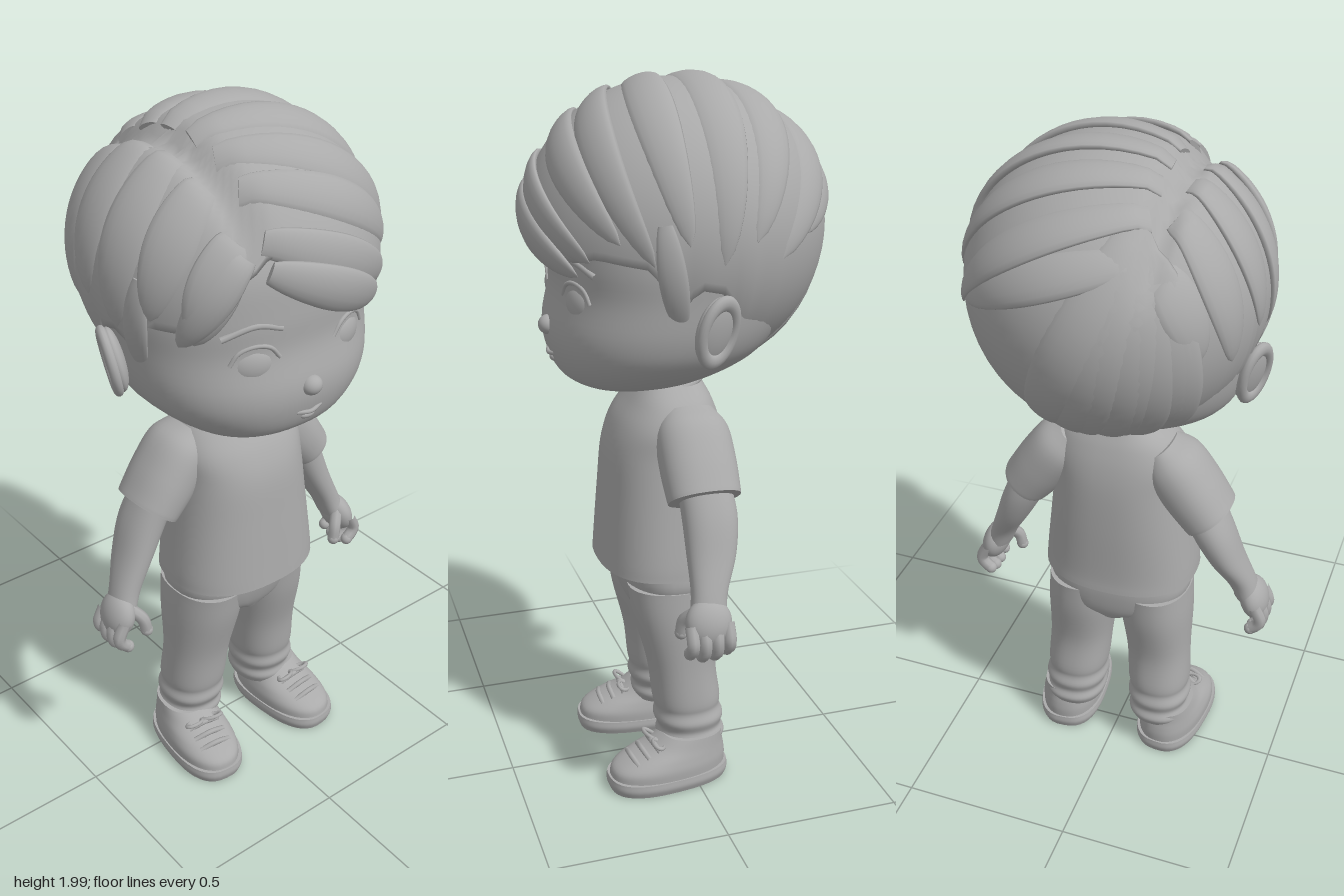
import * as THREE from 'three';

const grey = new THREE.MeshStandardMaterial({ color: 0xaaaaaa });
grey.name = 'plain grey';
const V = (x, y, z) => new THREE.Vector3(x, y, z);
const lerp = THREE.MathUtils.lerp;

function add(parent, name, geometry, pos = [0, 0, 0], rot = [0, 0, 0], scale = [1, 1, 1]) {
  const m = new THREE.Mesh(geometry, grey);
  m.name = name;
  m.position.set(...pos);
  m.rotation.set(...rot);
  m.scale.set(...scale);
  parent.add(m);
  return m;
}

// Closed skin over rows of points, with a flat cap at both ends
function skin(rows) {
  const n = rows[0].length, pos = [], idx = [];
  rows.forEach(r => r.forEach(p => pos.push(p.x, p.y, p.z)));
  for (let j = 0; j < rows.length - 1; j++) for (let i = 0; i < n; i++) {
    const a = j * n + i, b = j * n + (i + 1) % n;
    idx.push(a, b, b + n, a, b + n, a + n);
  }
  [rows[0], rows[rows.length - 1]].forEach((r, end) => {
    const base = pos.length / 3, c = V(0, 0, 0);
    r.forEach(p => { pos.push(p.x, p.y, p.z); c.add(p); });
    c.divideScalar(n);
    pos.push(c.x, c.y, c.z);
    for (let i = 0; i < n; i++) {
      const k = base + (i + 1) % n;
      if (end) idx.push(base + i, k, base + n); else idx.push(k, base + i, base + n);
    }
  });
  const g = new THREE.BufferGeometry();
  g.setAttribute('position', new THREE.Float32BufferAttribute(pos, 3));
  g.setIndex(idx);
  g.computeVertexNormals();
  return g;
}

// Rounded cross-sections [y, centre x, centre z, half width, half depth], bottom to top
function loft(rings, power = 2.2, seg = 40) {
  const A = new THREE.CatmullRomCurve3(rings.map(r => V(r[0], r[1], r[3])), false, 'catmullrom', 0.5);
  const B = new THREE.CatmullRomCurve3(rings.map(r => V(r[2], r[4], 0)), false, 'catmullrom', 0.5);
  const steps = (rings.length - 1) * 5, rows = [];
  const sup = c => Math.sign(c) * Math.pow(Math.abs(c), 2 / power);
  for (let j = 0; j <= steps; j++) {
    const a = A.getPoint(j / steps), b = B.getPoint(j / steps), row = [];
    for (let i = 0; i < seg; i++) {
      const t = i / seg * Math.PI * 2;
      row.push(V(a.y + a.z * sup(Math.sin(t)), a.x, b.x + b.y * sup(Math.cos(t))));
    }
    rows.push(row);
  }
  return skin(rows);
}

const tube = (pts, r) => new THREE.TubeGeometry(new THREE.CatmullRomCurve3(pts.map(p => V(...p))), 16, r, 8);
const ball = r => new THREE.SphereGeometry(r, 28, 20);

// Hair volume: unit direction to a point, with a dip along the parting
function hairPoint(d) {
  const x = 0.395 * d.x;
  const dip = 0.035 * Math.exp(-(((x + 0.18) / 0.03) ** 2)) * THREE.MathUtils.clamp((d.y - 0.2) * 3, 0, 1);
  return V(x, 1.6 + (d.y > 0 ? 0.38 : 0.4) * d.y - dip, 0.405 * d.z);
}
const fromTop = (x, z) => {
  const a = x / 0.395, b = z / 0.405;
  return V(a, Math.sqrt(Math.max(0, 1 - a * a - b * b)), b).normalize();
};
const fromSide = (deg, y) => {
  const s = THREE.MathUtils.clamp((y - 1.6) / (y > 1.6 ? 0.38 : 0.4), -0.99, 0.99);
  const c = Math.sqrt(1 - s * s), a = deg * Math.PI / 180;
  return V(c * Math.sin(a), s, c * Math.cos(a));
};

// Tapered lock lying on the hair volume, one edge lifted over its neighbour
function lock(from, to, width, height, lift) {
  const mid = from.clone().add(to).normalize();
  const curve = new THREE.CatmullRomCurve3([from, mid, to]), rows = [];
  for (let j = 0; j <= 20; j++) {
    const t = j / 20, c = curve.getPoint(t).normalize();
    const side = c.clone().cross(curve.getTangent(t)).normalize(), row = [];
    const k = Math.max(0.02, Math.pow(Math.sin(Math.PI * (0.1 + 0.9 * t)), 0.6));
    for (let i = 0; i < 16; i++) {
      const f = i / 16 * Math.PI * 2;
      const d = c.clone().addScaledVector(side, width * k * Math.cos(f)).normalize();
      row.push(hairPoint(d).addScaledVector(d, k * (height * Math.sin(f) + lift * Math.cos(f))));
    }
    rows.push(row);
  }
  return skin(rows);
}

function buildHair(root) {
  const hair = new THREE.Group();
  hair.name = 'hair';
  root.add(hair);
  // Cap with a hairline given as [angle from the front, height]
  const line = [[-180, 1.21], [-115, 1.22], [-102, 1.26], [-95, 1.48], [-82, 1.5], [-75, 1.42], [-68, 1.54],
    [-55, 1.54], [-38, 1.64], [-22, 1.74], [0, 1.69], [15, 1.62], [33, 1.55], [45, 1.57], [66, 1.55],
    [75, 1.42], [82, 1.5], [95, 1.48], [102, 1.26], [115, 1.22], [180, 1.21]];
  const edge = a => {
    const i = Math.max(1, line.findIndex(p => p[0] >= a)), [p, q] = [line[i - 1], line[i]];
    return lerp(p[1], q[1], (a - p[0]) / (q[0] - p[0]));
  };
  const rows = [];
  for (let j = -1; j <= 30; j++) {
    const row = [];
    for (let i = 0; i < 90; i++) {
      const a = -180 + i * 4, r = a * Math.PI / 180;
      const e = lerp(Math.asin(fromSide(a, edge(a)).y), 1.565, Math.max(0, j) / 30);
      const p = hairPoint(V(Math.cos(e) * Math.sin(r), Math.sin(e), Math.cos(e) * Math.cos(r)));
      if (j < 0) { p.x *= 0.82; p.z *= 0.82; }
      row.push(p);
    }
    rows.push(row);
  }
  add(hair, 'hairCap', skin(rows));
  // Locks combed from the parting to each side
  for (let i = 0; i < 8; i++) {
    const f = i / 7;
    add(hair, 'leftLock', lock(fromTop(-0.15, lerp(0.33, -0.3, f)),
      fromSide(lerp(42, 128, f), 1.56 + (i % 2) * 0.05), 0.15, 0.018, i % 2 ? 0.008 : 0.012));
  }
  for (let i = 0; i < 6; i++) {
    const f = i / 5;
    add(hair, 'rightLock', lock(fromTop(-0.2, lerp(0.29, -0.28, f)),
      fromSide(lerp(-50, -130, f), 1.51 + (i % 2) * 0.05), 0.17, 0.018, -0.01));
  }
  // Fringe, back and sideburns
  add(hair, 'fringe', lock(fromTop(-0.15, 0.36), fromSide(36, 1.52), 0.15, 0.022, 0.01));
  add(hair, 'fringe', lock(fromTop(-0.19, 0.32), fromSide(-56, 1.5), 0.13, 0.022, 0));
  for (let i = 0; i < 9; i++)
    add(hair, 'backLock', lock(fromTop(-0.13, -0.25), fromSide(lerp(110, 250, i / 8), 1.22 + (i % 2) * 0.03), 0.18, 0.016, 0.008));
  for (const s of [1, -1])
    add(hair, 'sideburn', lock(fromSide(s * 70, 1.66), fromSide(s * 77, 1.37), 0.09, 0.012, 0));
}

function buildHead(root) {
  const head = new THREE.Group();
  head.name = 'head';
  root.add(head);
  add(head, 'face', loft([[1.177, 0, 0.17, 0.06, 0.06], [1.19, 0, 0.14, 0.17, 0.14], [1.22, 0, 0.11, 0.24, 0.215],
    [1.28, 0, 0.07, 0.31, 0.28], [1.35, 0, 0.045, 0.342, 0.31], [1.45, 0, 0.02, 0.355, 0.315],
    [1.55, 0, 0.015, 0.36, 0.32], [1.68, 0, 0, 0.34, 0.32], [1.82, 0, 0, 0.25, 0.24], [1.9, 0, 0, 0.1, 0.1]], 2.3, 56));
  add(head, 'neck', new THREE.CylinderGeometry(0.08, 0.085, 0.2, 32), [0, 1.17, 0.015]);
  add(head, 'nose', ball(0.03), [0, 1.345, 0.35], [0, 0, 0], [1, 0.9, 0.95]);
  add(head, 'mouth', tube([[-0.04, 1.274, 0.343], [0, 1.269, 0.352], [0.04, 1.274, 0.343]], 0.006));
  add(head, 'lowerLip', ball(0.02), [0, 1.255, 0.334], [0, 0, 0], [1.3, 0.6, 0.8]);
  for (const s of [1, -1]) {
    add(head, 'eye', ball(1), [s * 0.148, 1.428, 0.288], [0, s * 0.35, 0], [0.064, 0.056, 0.036]);
    add(head, 'eyelid', tube([[s * 0.088, 1.445, 0.328], [s * 0.115, 1.477, 0.325], [s * 0.155, 1.486, 0.313],
      [s * 0.195, 1.472, 0.297], [s * 0.214, 1.44, 0.288]], 0.006));
    add(head, 'eyebrow', tube([[s * 0.08, 1.52, 0.325], [s * 0.15, 1.54, 0.312], [s * 0.235, 1.515, 0.279]], 0.009));
    // Ear with its outer rim
    const ear = new THREE.Group();
    ear.name = 'ear';
    ear.position.set(s * 0.36, 1.39, 0.005);
    ear.rotation.set(-0.12, s * 0.4, -s * 0.15);
    head.add(ear);
    add(ear, 'earShell', ball(1), [0, 0, 0], [0, 0, 0], [0.026, 0.09, 0.06]);
    add(ear, 'earRim', new THREE.TorusGeometry(0.052, 0.014, 12, 36), [s * 0.014, 0, 0], [0, Math.PI / 2, 0], [1, 1.5, 1]);
  }
}

function buildBody(root) {
  add(root, 'shirt', loft([[0.645, 0, 0.045, 0.228, 0.184], [0.7, 0, 0.045, 0.224, 0.18], [0.85, 0, 0.04, 0.206, 0.174],
    [0.98, 0, 0.037, 0.192, 0.165], [1.06, 0, 0.03, 0.19, 0.145], [1.12, 0, 0.02, 0.163, 0.115],
    [1.16, 0, 0.015, 0.115, 0.09], [1.175, 0, 0.01, 0.088, 0.08]], 2.4, 48));
  add(root, 'collar', new THREE.TorusGeometry(0.095, 0.012, 10, 40), [0, 1.155, 0.018], [Math.PI / 2 + 0.3, 0, 0]);
  add(root, 'hips', loft([[0.5, 0, 0.025, 0.05, 0.11], [0.54, 0, 0.025, 0.17, 0.13], [0.6, 0, 0.03, 0.212, 0.142],
    [0.66, 0, 0.035, 0.212, 0.145]], 2.5));
  for (const s of [1, -1]) {
    // Sleeve and arm
    add(root, 'sleeve', loft([[0, 0, 0, 0.076, 0.1], [0.02, 0, 0, 0.078, 0.102], [0.1, 0, 0, 0.084, 0.105],
      [0.19, 0, 0, 0.08, 0.1], [0.25, 0, 0, 0.045, 0.07]]), [s * 0.275, 0.905, 0], [0, 0, s * 0.64]);
    add(root, 'arm', loft([[0.62, s * 0.395, 0.028, 0.036, 0.05], [0.68, s * 0.372, 0.018, 0.04, 0.05],
      [0.77, s * 0.328, -0.002, 0.05, 0.068], [0.87, s * 0.283, -0.01, 0.06, 0.076], [0.98, s * 0.23, 0, 0.06, 0.07]]));
    // Hand with curled fingers
    const hand = new THREE.Group();
    hand.name = 'hand';
    root.add(hand);
    add(hand, 'palm', ball(1), [s * 0.41, 0.61, 0.032], [0, 0, s * 0.3], [0.04, 0.065, 0.064]);
    [0.084, 0.05, 0.016, -0.018].forEach((z, i) => {
      const drop = i % 3 ? 0 : 0.012;
      add(hand, 'finger', tube([[s * 0.422, 0.61, z], [s * 0.442, 0.565, z], [s * 0.436, 0.535 + drop, z],
        [s * 0.415, 0.516 + drop, z]], 0.018));
      add(hand, 'fingertip', ball(0.018), [s * 0.415, 0.516 + drop, z]);
    });
    add(hand, 'thumb', tube([[s * 0.39, 0.635, 0.06], [s * 0.362, 0.6, 0.085], [s * 0.353, 0.56, 0.09]], 0.018));
    add(hand, 'thumbTip', ball(0.018), [s * 0.353, 0.56, 0.09]);
    // Trouser leg, creased above the cuff
    add(root, 'trouserLeg', loft([[0.105, s * 0.14, -0.005, 0.085, 0.09], [0.13, s * 0.14, -0.005, 0.094, 0.1],
      [0.155, s * 0.138, -0.003, 0.087, 0.092], [0.185, s * 0.137, 0, 0.096, 0.101], [0.215, s * 0.135, 0.003, 0.089, 0.094],
      [0.25, s * 0.133, 0.006, 0.094, 0.098], [0.36, s * 0.126, 0.018, 0.096, 0.099], [0.5, s * 0.116, 0.025, 0.106, 0.127],
      [0.6, s * 0.11, 0.03, 0.106, 0.138]]));
    buildShoe(root, s);
  }
}

function buildShoe(root, s) {
  const shoe = new THREE.Group();
  shoe.name = 'shoe';
  shoe.position.x = s * 0.165;
  shoe.rotation.y = s * 0.1;
  root.add(shoe);
  add(shoe, 'sole', loft([[0, 0, 0.075, 0.095, 0.175], [0.02, 0, 0.075, 0.102, 0.181], [0.04, 0, 0.075, 0.1, 0.179]], 2.6));
  add(shoe, 'upper', loft([[0.035, 0, 0.075, 0.096, 0.174], [0.065, 0, 0.07, 0.096, 0.17], [0.09, 0, 0.05, 0.09, 0.147],
    [0.115, 0, 0.02, 0.082, 0.112], [0.145, 0, -0.002, 0.075, 0.088]], 2.3));
  // Laces and bow
  for (let k = 0; k < 3; k++) {
    const z = 0.115 + k * 0.033, y = 0.128 - k * 0.015;
    add(shoe, 'lace', tube([[-0.05, y - 0.015, z], [0, y, z + 0.008], [0.05, y - 0.015, z]], 0.008));
  }
  for (const t of [1, -1])
    add(shoe, 'bowLoop', new THREE.TorusGeometry(0.022, 0.006, 8, 20), [t * 0.03, 0.13, 0.115], [1.1, 0, t * 0.3], [1.3, 0.8, 1]);
}

export function createModel() {
  const root = new THREE.Group();
  root.name = 'child';
  buildHead(root);
  buildHair(root);
  buildBody(root);
  return root;
}
